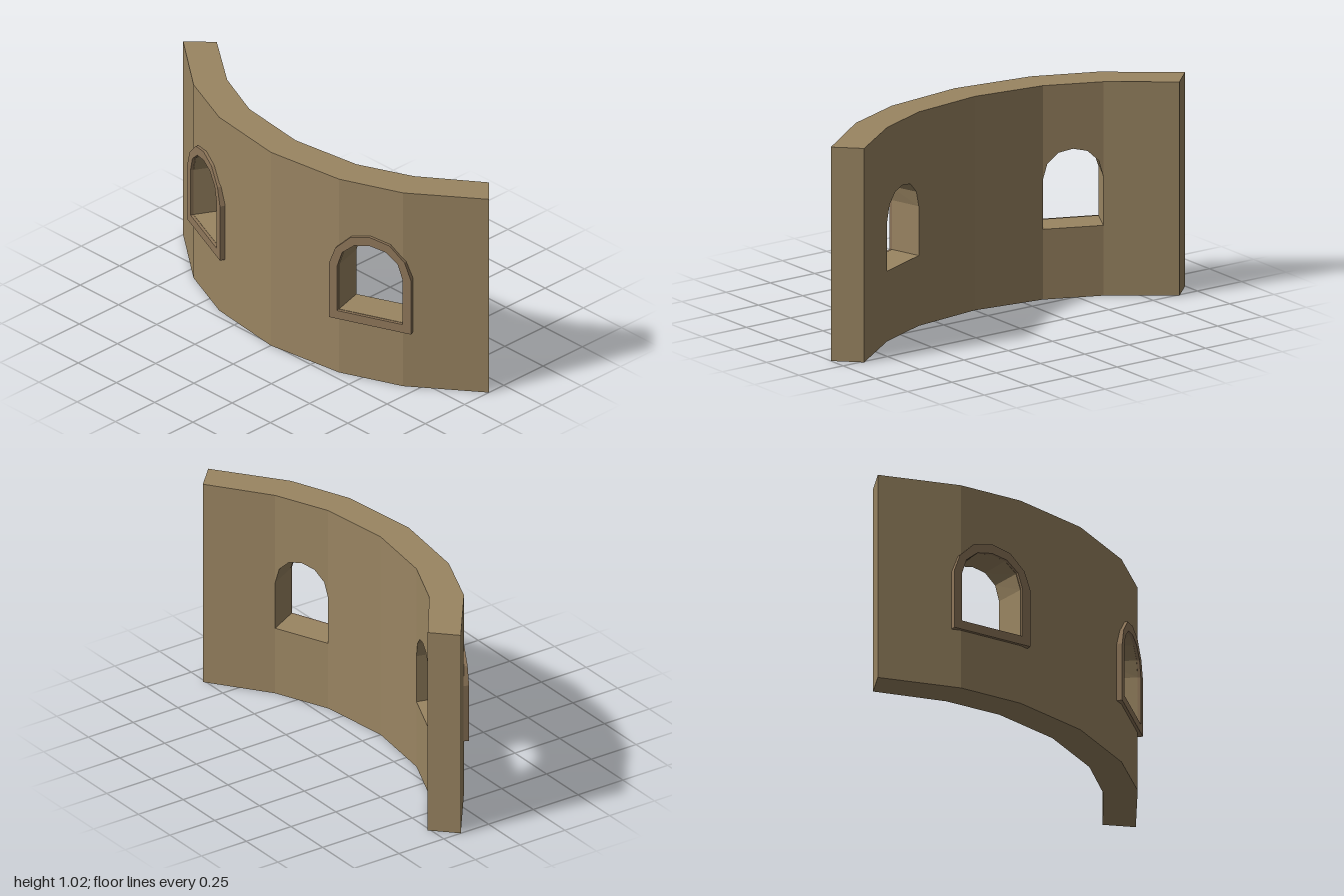
import * as THREE from 'three';

const HEIGHT = 1.02, SILL = 0.335;

// Wall plan as [x, z], running from -x to +x
const mirror = half => [...half.map(([x, z]) => [-x, z]), ...half.slice(0, -1).reverse()];
const OUTER = mirror([[1, -0.155], [0.685, 0.085], [0.392, 0.207], [0, 0.26]]);
const INNER = mirror([[0.89, -0.262], [0.61, 0.058 - 0.002], [0.35, 0.056], [0, 0.103]].map(
  ([x, z], i) => (i === 1 ? [x, -z] : [x, z])));

// Arch profile as [position across from -1 to 1, height]
const arch = heights => [-1, -0.85, -0.48, 0, 0.48, 0.85, 1].map((u, i) => [u, heights[3 - Math.abs(3 - i)]]);
const OPENING = arch([0.57, 0.645, 0.695, 0.71]);
const FRAME = arch([0.575, 0.66, 0.733, 0.755]);

const lerp = (a, b, t) => [a[0] + (b[0] - a[0]) * t, a[1] + (b[1] - a[1]) * t];
const at = (p, y) => [p[0], y, p[1]];

function buildWall(material) {
  const pos = [];
  const quad = (a, b, c, d) => pos.push(...a, ...b, ...c, ...a, ...c, ...d);

  // Front, back, top and underside of a block whose underside may slope
  const block = (oA, oB, iA, iB, lowA, lowB, top) => {
    quad(at(oA, lowA), at(oB, lowB), at(oB, top), at(oA, top));
    quad(at(iB, lowB), at(iA, lowA), at(iA, top), at(iB, top));
    quad(at(oA, top), at(oB, top), at(iB, top), at(iA, top));
    quad(at(iA, lowA), at(iB, lowB), at(oB, lowB), at(oA, lowA));
  };

  for (let s = 0; s < 6; s++) {
    const [oA, oB, iA, iB] = [OUTER[s], OUTER[s + 1], INNER[s], INNER[s + 1]];
    if (s !== 1 && s !== 4) {
      block(oA, oB, iA, iB, 0, 0, HEIGHT);
      continue;
    }
    // Window panel: sill block, columns above the arch, two jambs
    block(oA, oB, iA, iB, 0, 0, SILL);
    for (let k = 0; k < OPENING.length - 1; k++) {
      const [u, yA] = OPENING[k], [v, yB] = OPENING[k + 1];
      const tA = (u + 1) / 2, tB = (v + 1) / 2;
      block(lerp(oA, oB, tA), lerp(oA, oB, tB), lerp(iA, iB, tA), lerp(iA, iB, tB), yA, yB, HEIGHT);
    }
    const spring = OPENING[0][1];
    quad(at(oA, SILL), at(iA, SILL), at(iA, spring), at(oA, spring));
    quad(at(iB, SILL), at(oB, SILL), at(oB, spring), at(iB, spring));
  }

  // End faces
  quad(at(INNER[0], 0), at(OUTER[0], 0), at(OUTER[0], HEIGHT), at(INNER[0], HEIGHT));
  quad(at(OUTER[6], 0), at(INNER[6], 0), at(INNER[6], HEIGHT), at(OUTER[6], HEIGHT));

  const geometry = new THREE.BufferGeometry();
  geometry.setAttribute('position', new THREE.Float32BufferAttribute(pos, 3));
  geometry.computeVertexNormals();
  const wall = new THREE.Mesh(geometry, material);
  wall.name = 'curvedWall';
  return wall;
}

// Arched surround lying just proud of a window panel
function buildFrame(segment, material) {
  const outline = (profile, half, base) => [
    [-half, base], [half, base], ...profile.map(([u, y]) => [u * half, y]).reverse(),
  ].map(([x, y]) => new THREE.Vector2(x, y));
  const shape = new THREE.Shape(outline(FRAME, 0.203, 0.29));
  shape.holes.push(new THREE.Path(outline(OPENING, 0.162, 0.333)));

  const depth = 0.03, proud = 0.014;
  const geometry = new THREE.ExtrudeGeometry(shape, { depth, bevelEnabled: false });
  geometry.translate(0, 0, proud - depth);

  const a = OUTER[segment], b = OUTER[segment + 1], mid = lerp(a, b, 0.5);
  const frame = new THREE.Mesh(geometry, material);
  frame.position.set(mid[0], 0, mid[1]);
  frame.rotation.y = -Math.atan2(b[1] - a[1], b[0] - a[0]);
  frame.name = segment === 1 ? 'rightWindowFrame' : 'leftWindowFrame';
  return frame;
}

export function createModel() {
  const stone = new THREE.MeshStandardMaterial({ color: 0x9a8562 });
  stone.name = 'sandstone';
  const trim = new THREE.MeshStandardMaterial({ color: 0x8f775a });
  trim.name = 'darkSandstone';

  const model = new THREE.Group();
  model.name = 'curvedWallWithWindows';
  model.add(buildWall(stone), buildFrame(1, trim), buildFrame(4, trim));
  return model;
}
